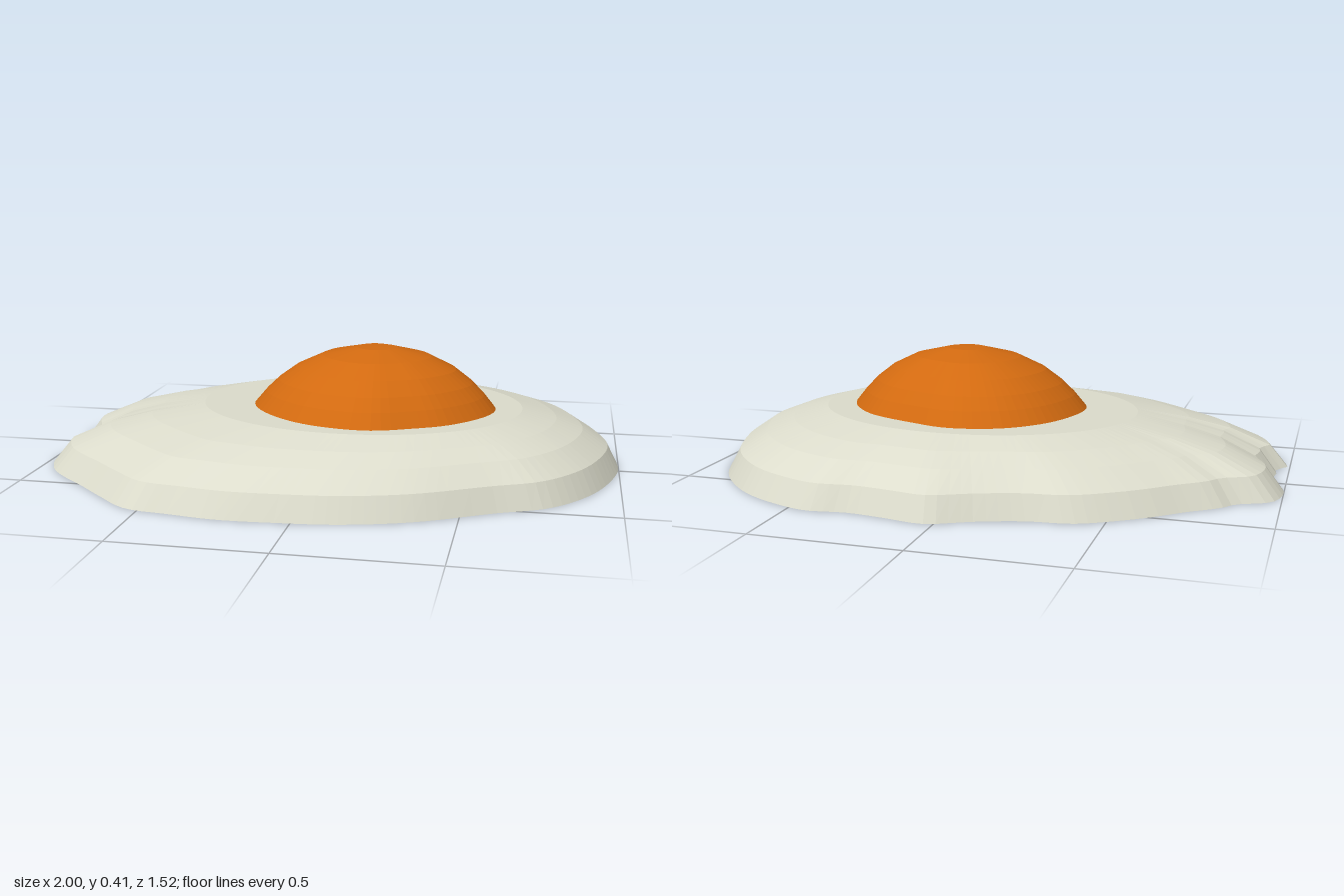
import * as THREE from 'three';

// Smooth closed outline through [x, z] points, sampled evenly
function outline(points, count) {
  const curve = new THREE.CatmullRomCurve3(
    points.map(([x, z]) => new THREE.Vector3(x, 0, z)), true, 'centripetal');
  return curve.getSpacedPoints(count).slice(0, count);
}

// Skin stacked rings of equal length, closing the top and bottom with fans
function loft(rings, topCentre, bottomCentre) {
  const n = rings[0].length;
  const positions = rings.flat().flatMap(p => [p.x, p.y, p.z]);
  const index = [];
  const last = (rings.length - 1) * n;
  const top = rings.length * n;
  positions.push(...topCentre, ...bottomCentre);
  for (let i = 0; i < n; i++) {
    const j = (i + 1) % n;
    for (let r = 0; r < last; r += n) {
      index.push(r + i, r + n + i, r + j, r + j, r + n + i, r + n + j);
    }
    index.push(top, last + j, last + i, top + 1, i, j);
  }
  const geometry = new THREE.BufferGeometry();
  geometry.setAttribute('position', new THREE.Float32BufferAttribute(positions, 3));
  geometry.setIndex(index);
  geometry.computeVertexNormals();
  return geometry;
}

function part(name, geometry, color) {
  const mesh = new THREE.Mesh(geometry, new THREE.MeshStandardMaterial({ color, flatShading: true }));
  mesh.name = name;
  return mesh;
}

export function createModel() {
  const group = new THREE.Group();
  group.name = 'friedEgg';

  // Egg white: irregular rim blending into an oval plateau
  const rim = outline([
    [1, -0.05], [0.965, 0.14], [0.89, 0.31], [0.77, 0.45], [0.61, 0.53], [0.36, 0.665],
    [0.14, 0.73], [-0.05, 0.75], [-0.235, 0.757], [-0.4, 0.735], [-0.545, 0.71],
    [-0.67, 0.61], [-0.78, 0.51], [-0.88, 0.425], [-0.945, 0.35], [-0.99, 0.215],
    [-0.955, 0.18], [-0.96, 0.11], [-0.945, 0.05], [-0.965, 0], [-0.985, -0.04], [-1, -0.11],
    [-0.97, -0.225], [-0.86, -0.285], [-0.82, -0.335], [-0.72, -0.41], [-0.64, -0.48],
    [-0.56, -0.54], [-0.41, -0.625], [-0.26, -0.645], [-0.11, -0.695], [-0.06, -0.72],
    [0.03, -0.76], [0.17, -0.74], [0.3, -0.725], [0.44, -0.74], [0.57, -0.7],
    [0.7, -0.63], [0.81, -0.53], [0.89, -0.42], [0.96, -0.24]], 144);
  const plateau = rim.map(p => {
    const a = Math.atan2(p.z / 0.76, p.x - 0.05);
    return new THREE.Vector3(0.09 + 0.57 * Math.cos(a), 0, 0.44 * Math.sin(a));
  });
  const whiteRings = [[0, 0], [0.12, 0.08], [0.38, 0.14], [0.65, 0.175], [1, 0.205]]
    .map(([t, y]) => rim.map((p, i) => p.clone().lerp(plateau[i], t).setY(y)));
  group.add(part('eggWhite', loft(whiteRings, [0.09, 0.205, 0], [0, 0, 0]), 0xdcdccc));

  // Yolk: low dome with a slightly lopsided base
  const base = outline([
    [0.57, 0.03], [0.54, 0.13], [0.43, 0.265], [0.31, 0.335], [0.18, 0.385], [0.01, 0.365],
    [-0.12, 0.3], [-0.24, 0.18], [-0.29, 0.06], [-0.27, -0.08], [-0.2, -0.22],
    [-0.08, -0.325], [0.09, -0.367], [0.23, -0.33], [0.41, -0.25], [0.5, -0.16], [0.55, -0.07]], 72);
  const centre = new THREE.Vector3(0.15, 0, 0.02);
  const yolkRings = [[1, 0.203], [0.9, 0.255], [0.8, 0.297], [0.66, 0.342], [0.45, 0.385], [0.17, 0.413]]
    .map(([s, y]) => base.map(p => centre.clone().lerp(p, s).setY(y)));
  group.add(part('yolk', loft(yolkRings, [0.15, 0.415, 0.02], [0.15, 0.203, 0.02]), 0xd26a10));

  return group;
}
